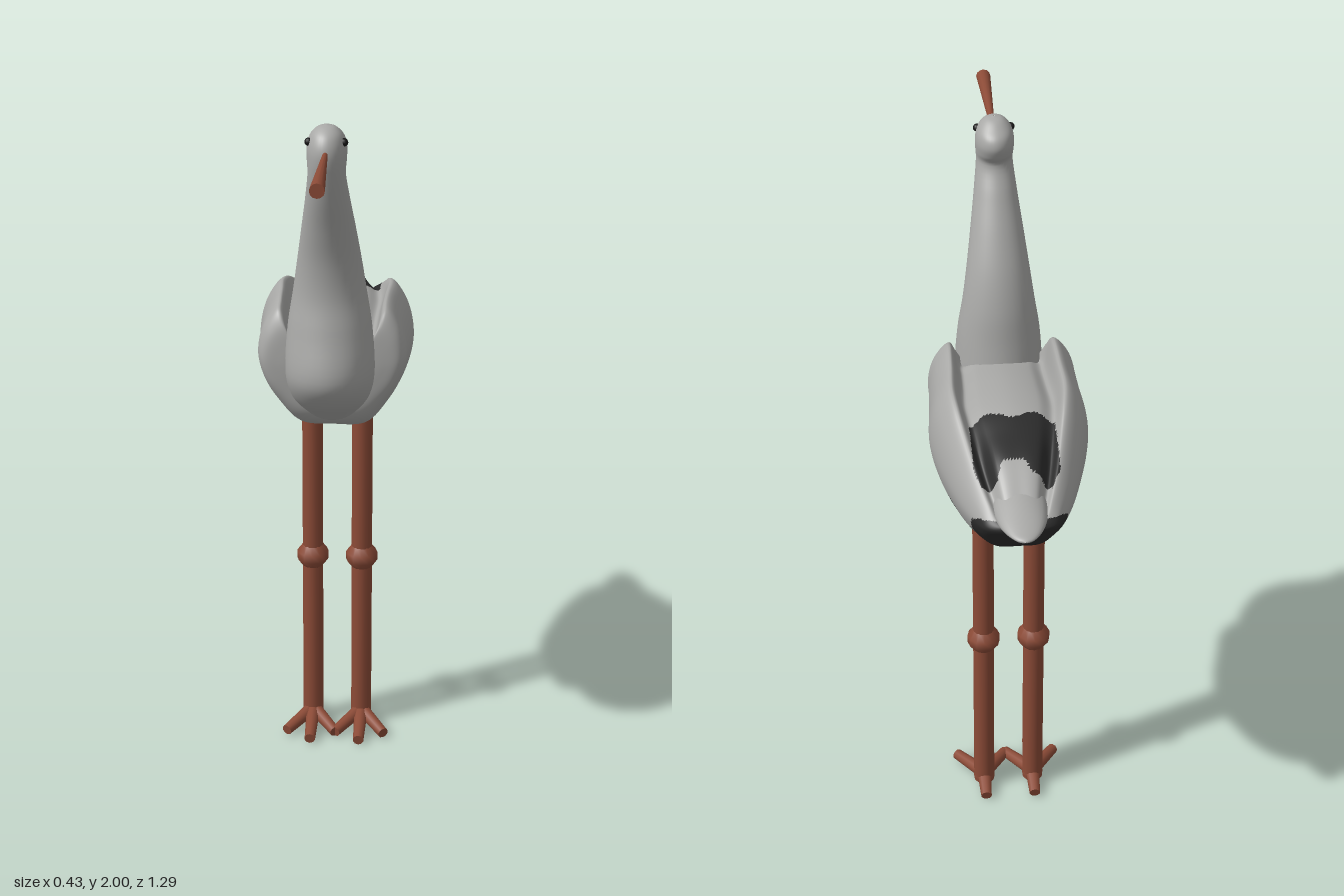
import * as THREE from 'three';

const mat = (name, color, extra = {}) => Object.assign(new THREE.MeshStandardMaterial({ color, ...extra }), { name });
const V = (x, y, z) => new THREE.Vector3(x, y, z);

// Smooth skin over closed rings of equal point count; pick(x, y, z) chooses the material per face
function loft(rings, nU, nV, pick = () => 0) {
  const around = rings.map((r) => {
    const c = new THREE.CatmullRomCurve3(r, true, 'centripetal');
    return Array.from({ length: nU }, (_, i) => c.getPoint(i / nU));
  });
  const pos = [];
  for (let i = 0; i < nU; i++) {
    const c = new THREE.CatmullRomCurve3(around.map((r) => r[i]), false, 'centripetal');
    for (let j = 0; j <= nV; j++) pos.push(c.getPoint(j / nV));
  }
  const tris = [];
  let volume = 0;
  const add = (a, b, c) => {
    tris.push([a, b, c]);
    volume += pos[a].dot(pos[b].clone().cross(pos[c]));
  };
  for (let i = 0; i < nU; i++) {
    for (let j = 0; j < nV; j++) {
      const a = i * (nV + 1) + j, b = ((i + 1) % nU) * (nV + 1) + j;
      add(a, b, b + 1);
      add(a, b + 1, a + 1);
    }
  }
  const sets = [[], []];
  for (const [a, b, c] of tris) {
    const m = pos[a].clone().add(pos[b]).add(pos[c]).divideScalar(3);
    sets[pick(m.x, m.y, m.z)].push(...(volume > 0 ? [a, b, c] : [a, c, b]));
  }
  const g = new THREE.BufferGeometry().setFromPoints(pos);
  g.setIndex([...sets[0], ...sets[1]]);
  g.addGroup(0, sets[0].length, 0);
  g.addGroup(sets[0].length, sets[1].length, 1);
  g.computeVertexNormals();
  return g;
}

// Straight round bar between two points
function bar(a, b, ra, rb, sides) {
  const g = new THREE.CylinderGeometry(rb, ra, a.distanceTo(b), sides);
  const q = new THREE.Quaternion().setFromUnitVectors(V(0, 1, 0), b.clone().sub(a).normalize());
  g.applyQuaternion(q);
  const m = a.clone().add(b).multiplyScalar(0.5);
  return g.translate(m.x, m.y, m.z);
}

// Piecewise linear lookup in [key, value] pairs
function lookup(table, k) {
  for (let i = 1; i < table.length; i++) {
    const [k0, v0] = table[i - 1], [k1, v1] = table[i];
    if (k <= k1) return THREE.MathUtils.lerp(v0, v1, THREE.MathUtils.clamp((k - k0) / (k1 - k0), 0, 1));
  }
  return table[table.length - 1][1];
}

export function createModel() {
  const bird = new THREE.Group();
  bird.name = 'wadingBird';
  const grey = mat('greyPlumage', 0xa9a9a7);
  const black = mat('blackPlumage', 0x2c2c2c);
  const brown = mat('redBrownSkin', 0x8c4b37);
  const eyeBlack = mat('eyeBlack', 0x161616);
  const add = (name, geo, material, parent = bird) => {
    const m = new THREE.Mesh(geo, material);
    m.name = name;
    parent.add(m);
    return m;
  };

  // Body with folded wings: z, half width, wing top, back height, belly height
  const sections = [
    [0.128, 0.004, 1.27, 1.269, 1.262],
    [0.126, 0.14, 1.32, 1.3, 1.18],
    [0.115, 0.188, 1.375, 1.335, 1.12],
    [0.09, 0.203, 1.41, 1.35, 1.085],
    [0.04, 0.205, 1.424, 1.36, 1.055],
    [-0.05, 0.21, 1.423, 1.375, 1.022],
    [-0.15, 0.217, 1.415, 1.385, 1.006],
    [-0.22, 0.207, 1.398, 1.385, 1.008],
    [-0.3, 0.186, 1.36, 1.37, 1.03],
    [-0.4, 0.155, 1.312, 1.345, 1.072],
    [-0.48, 0.122, 1.272, 1.3, 1.125],
    [-0.53, 0.095, 1.246, 1.262, 1.185],
    [-0.55, 0.06, 1.236, 1.242, 1.212],
    [-0.553, 0.004, 1.23, 1.231, 1.226],
  ];
  const bodyRings = sections.map(([z, w, top, back, low]) => {
    const h = top - low;
    const half = [
      [0.36, back - 0.03 * h], [0.55, Math.min(back, top) - 0.08 * h], [0.7, top], [0.9, low + 0.87 * h],
      [1, low + 0.62 * h], [0.91, low + 0.38 * h], [0.72, low + 0.19 * h], [0.44, low + 0.02 * h],
    ];
    const right = half.map(([x, y]) => V(x * w, y, z));
    const left = half.map(([x, y]) => V(-x * w, y, z)).reverse();
    return [V(0, back, z), ...right, V(0, low, z), ...left];
  });

  // Dark saddle on the back and dark rear underside
  const saddleRear = [[-0.115, -0.4], [-0.09, -0.445], [-0.04, -0.43], [-0.015, -0.395], [0.04, -0.395],
    [0.055, -0.44], [0.1, -0.44], [0.115, -0.39]];
  const rumpTop = [[-0.54, 1.25], [-0.5, 1.235], [-0.47, 1.215], [-0.43, 1.145], [-0.35, 1.13], [-0.32, 1.16],
    [-0.26, 1.145], [-0.21, 1.09], [-0.2, 1.07]];
  const plumage = (x, y, z) => {
    const saddle = y > 1.26 && Math.abs(x) < 0.115 && z < -0.235 + 0.012 * Math.cos(x * 50) * -1 && z > lookup(saddleRear, x);
    const rump = z < -0.2 && y < lookup(rumpTop, z);
    return saddle || rump ? 1 : 0;
  };
  add('bodyAndWings', loft(bodyRings, 130, 130, plumage), [grey, black]);

  // Breast, neck and head: y, front z, back z, half width
  const neck = [
    [2.0, 0.288, 0.284, 0.002], [1.995, 0.308, 0.262, 0.022], [1.98, 0.332, 0.237, 0.039],
    [1.96, 0.346, 0.213, 0.049], [1.935, 0.353, 0.206, 0.053], [1.905, 0.352, 0.217, 0.052],
    [1.875, 0.345, 0.236, 0.05], [1.8, 0.323, 0.198, 0.058], [1.7, 0.288, 0.145, 0.072],
    [1.6, 0.262, 0.1, 0.086], [1.5, 0.257, 0.07, 0.1], [1.4, 0.277, 0.053, 0.115],
    [1.27, 0.302, 0.03, 0.122], [1.2, 0.262, 0.02, 0.111], [1.14, 0.185, 0, 0.083],
    [1.1, 0.12, -0.02, 0.05], [1.09, 0.05, 0.046, 0.002],
  ];
  const ring = (n, f) => Array.from({ length: n }, (_, i) => f(Math.cos((i / n) * 2 * Math.PI), Math.sin((i / n) * 2 * Math.PI)));
  add('neckAndHead', loft(neck.map(([y, f, b, w]) =>
    ring(12, (c, s) => V(w * c, y, (f + b) / 2 + ((f - b) / 2) * s))), 36, 90), grey);

  // Tail: z, half width, top, bottom
  const tail = [[-0.38, 0.05, 1.32, 1.22], [-0.47, 0.072, 1.3, 1.2], [-0.52, 0.069, 1.29, 1.208], [-0.57, 0.058, 1.278, 1.226],
    [-0.61, 0.04, 1.268, 1.24], [-0.635, 0.02, 1.262, 1.248], [-0.643, 0.002, 1.256, 1.254]];
  add('tail', loft(tail.map(([z, w, t, b]) =>
    ring(12, (c, s) => V(w * c, (t + b) / 2 + ((t - b) / 2) * s, z))), 28, 24), grey);

  // Beak, thin at the face and wide at the tip
  add('beak', bar(V(0, 1.938, 0.33), V(0, 1.938, 0.645), 0.006, 0.02, 12), brown);

  // Eyes, legs and feet on both sides
  for (const [side, s] of [['left', 1], ['right', -1]]) {
    const eye = add(side + 'Eye', new THREE.SphereGeometry(0.011, 12, 8), eyeBlack);
    eye.position.set(s * 0.046, 1.958, 0.302);

    const leg = new THREE.Group();
    leg.name = side + 'Leg';
    leg.position.set(s * 0.072, 0, -0.152);
    bird.add(leg);
    add('shank', bar(V(0, 0.02, 0), V(0, 1.06, 0), 0.03, 0.03, 16), brown, leg);
    const knee = [[0.028, -0.036], [0.046, -0.012], [0.046, 0.012], [0.028, 0.036]].map((p) => new THREE.Vector2(...p));
    add('knee', new THREE.LatheGeometry(knee, 12).translate(0, 0.553, 0), brown, leg);
    add('ankle', new THREE.SphereGeometry(0.031, 14, 10).translate(0, 0.032, 0), brown, leg);
    for (const [x, z] of [[0, 0.157], [0.072, 0.11], [-0.072, 0.11], [0, -0.082]]) {
      add('toe', bar(V(0, 0.038, 0), V(x, 0.018, z), 0.021, 0.016, 10), brown, leg);
    }
  }
  return bird;
}
